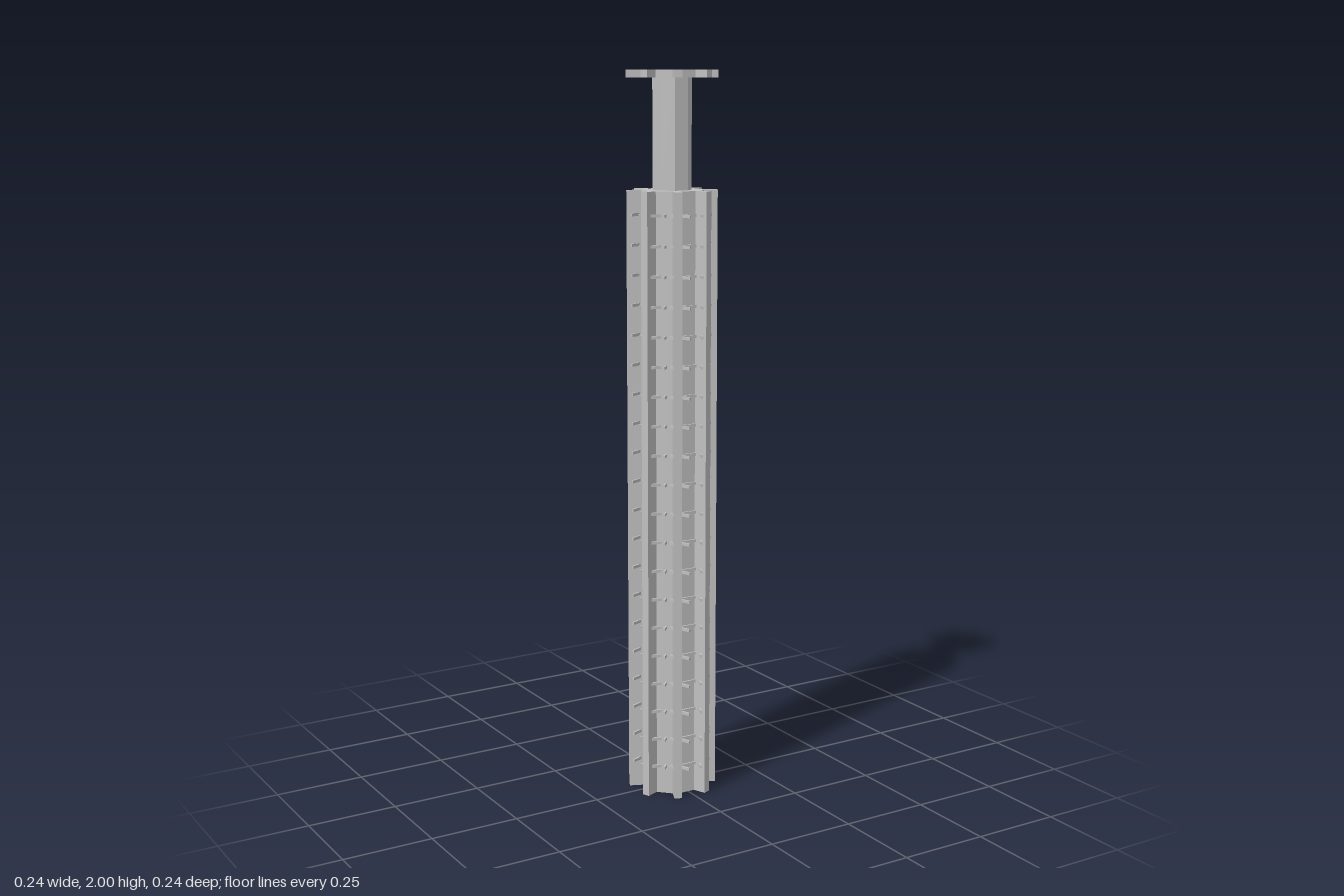
import * as THREE from 'three';
import { mergeGeometries } from 'three/addons/utils/BufferGeometryUtils.js';

const BODY_TOP = 1.685, CAP_BASE = 1.98, TOP = 2;

// Octagon with a straight rib at each corner, counterclockwise
function ribbedOutline() {
  const pts = [], w = 0.0105, root = 0.0855, tip = 0.1225;
  for (let i = 0; i < 8; i++) {
    const a = (i + 0.5) * Math.PI / 4, c = Math.cos(a), s = Math.sin(a);
    for (const [r, t] of [[root, -w], [tip, -w], [tip, w], [root, w]]) {
      pts.push(new THREE.Vector2(r * c - t * s, r * s + t * c));
    }
  }
  return pts;
}

// Upright walls following an outline, open at the bottom
function wallGeometry(pts, height) {
  const pos = [];
  pts.forEach((a, i) => {
    const b = pts[(i + 1) % pts.length];
    pos.push(a.x, 0, -a.y, b.x, 0, -b.y, b.x, height, -b.y);
    pos.push(a.x, 0, -a.y, b.x, height, -b.y, a.x, height, -a.y);
  });
  const g = new THREE.BufferGeometry();
  g.setAttribute('position', new THREE.Float32BufferAttribute(pos, 3));
  g.computeVertexNormals();
  return g;
}

// Thin bar between two points given as (outward, sideways) in a gap at angle a
function bar(a, u0, t0, u1, t1) {
  const g = new THREE.BoxGeometry(Math.hypot(u1 - u0, t1 - t0), 0.008, 0.005);
  g.rotateY(-Math.atan2(t1 - t0, u1 - u0));
  g.translate((u0 + u1) / 2, 0, (t0 + t1) / 2);
  return g.rotateY(a);
}

// One level of bars around the column
function barLevel() {
  const bars = [];
  for (let i = 0; i < 4; i++) {
    const a = i * Math.PI / 2, d = a + Math.PI / 4;
    bars.push(bar(a, 0.083, -0.026, 0.083, 0.026), bar(d, 0.08, 0, 0.106, 0));
    for (const s of [-1, 1]) {
      bars.push(bar(a, 0.08, s * 0.034, 0.119, s * 0.019));
      bars.push(bar(d, 0.087, s * 0.013, 0.104, s * 0.042));
    }
  }
  return mergeGeometries(bars);
}

export function createModel() {
  const grey = new THREE.MeshStandardMaterial({ color: 0xc0c0c0, side: THREE.DoubleSide });
  grey.name = 'light grey';
  const model = new THREE.Group();
  model.name = 'ribbedColumn';
  const column = new THREE.Group();
  column.name = 'column';
  column.position.set(-0.002, 0, -0.002);
  column.rotation.y = -0.017;
  model.add(column);

  const add = (parent, name, geometry, y) => {
    const mesh = new THREE.Mesh(geometry, grey);
    mesh.name = name;
    mesh.position.y = y;
    parent.add(mesh);
  };

  // Hollow ribbed body with a closed top
  const outline = ribbedOutline(), shape = new THREE.Shape(outline);
  add(column, 'bodyWalls', wallGeometry(outline, BODY_TOP), 0);
  add(column, 'bodyTop', new THREE.ShapeGeometry(shape).rotateX(-Math.PI / 2), BODY_TOP);

  // Octagonal neck
  const neckHeight = CAP_BASE - BODY_TOP;
  const neck = new THREE.CylinderGeometry(0.053, 0.053, neckHeight, 8, 1, true, Math.PI / 8).toNonIndexed();
  neck.computeVertexNormals();
  add(column, 'neck', neck, BODY_TOP + neckHeight / 2);

  // Cap with the same ribbed outline
  const cap = new THREE.ExtrudeGeometry(shape, { depth: TOP - CAP_BASE, bevelEnabled: false });
  add(column, 'cap', cap.rotateX(-Math.PI / 2), CAP_BASE);

  // Twenty evenly spaced levels of small bars
  const level = barLevel();
  for (let i = 0; i < 20; i++) add(model, 'barLevel', level, 0.082 + i * 0.081);
  return model;
}
